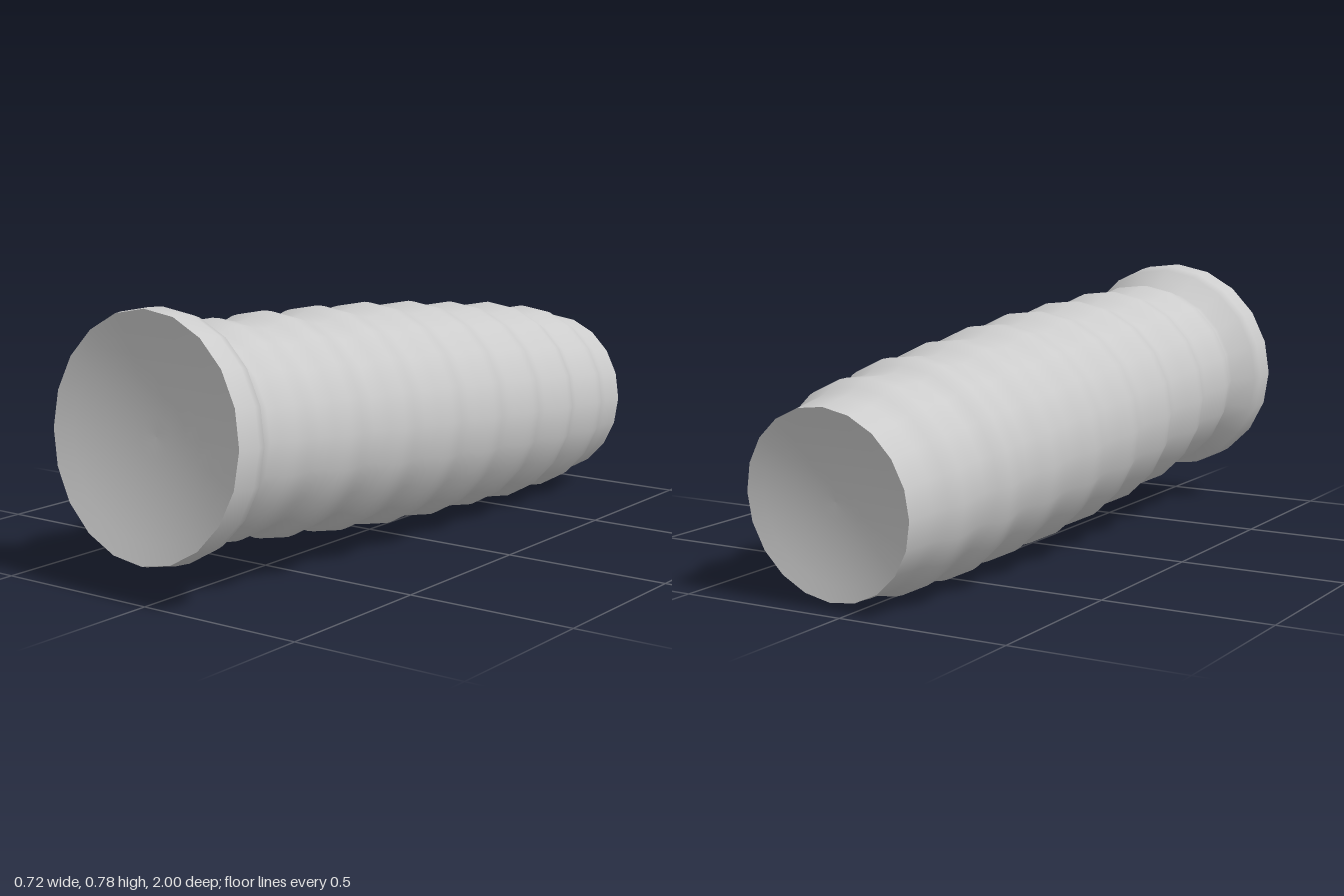
import * as THREE from 'three';

const SIDES = 20;
const FRONT = new THREE.Vector3(-0.02, 0.447, 0.972);
const BACK = new THREE.Vector3(0.055, 0.289, -0.974);
const LENGTH = FRONT.distanceTo(BACK);

// [distance from the front end, radius] at each valley and crest of the ribs
const RIBS = [
  [0.155, 0.276], [0.26, 0.306], [0.37, 0.292], [0.47, 0.32], [0.595, 0.298],
  [0.70, 0.328], [0.815, 0.31], [0.92, 0.333], [1.03, 0.313], [1.135, 0.331],
  [1.24, 0.31], [1.35, 0.324], [1.45, 0.301], [1.56, 0.318], [1.65, 0.29],
  [1.76, 0.301], [1.86, 0.272], [LENGTH, 0.264],
];

// Lathe a profile of [distance from front, radius]; local +y runs to the front
function lathe(name, profile, material) {
  const points = profile.map(([s, r]) => new THREE.Vector2(r, LENGTH / 2 - s));
  const mesh = new THREE.Mesh(new THREE.LatheGeometry(points, SIDES), material);
  mesh.name = name;
  return mesh;
}

// Shallow concave end face, listed from the centre outwards
function dish(s, radius, depth) {
  const profile = [];
  for (let i = 0; i <= 6; i++) {
    const t = i / 6;
    profile.push([s + depth * (1 - t * t), radius * t]);
  }
  return profile;
}

export function createModel() {
  const grey = new THREE.MeshStandardMaterial({ color: 0xcccccc });
  grey.name = 'light grey';

  // Flared collar, then ribs eased smoothly between valleys and crests
  const body = [[0, 0.337], [0.02, 0.341], [0.07, 0.341], [0.1, 0.333]];
  for (let i = 0; i < RIBS.length - 1; i++) {
    const [s0, r0] = RIBS[i];
    const [s1, r1] = RIBS[i + 1];
    for (let k = 0; k < 4; k++) {
      const t = k / 4;
      const ease = (1 - Math.cos(Math.PI * t)) / 2;
      body.push([s0 + (s1 - s0) * t, r0 + (r1 - r0) * ease]);
    }
  }
  body.push(RIBS[RIBS.length - 1]);

  const hose = new THREE.Group();
  hose.name = 'ribbedHose';
  hose.add(lathe('ribbedBody', body.reverse(), grey));
  hose.add(lathe('frontEnd', dish(0, 0.337, 0.05).reverse(), grey));
  hose.add(lathe('backEnd', dish(LENGTH, 0.264, -0.04), grey));

  // Lay the hose along its gently sloping axis
  const axis = FRONT.clone().sub(BACK).normalize();
  hose.quaternion.setFromUnitVectors(new THREE.Vector3(0, 1, 0), axis);
  hose.position.copy(FRONT).add(BACK).multiplyScalar(0.5);

  const model = new THREE.Group();
  model.name = 'corrugatedTube';
  model.add(hose);
  return model;
}
